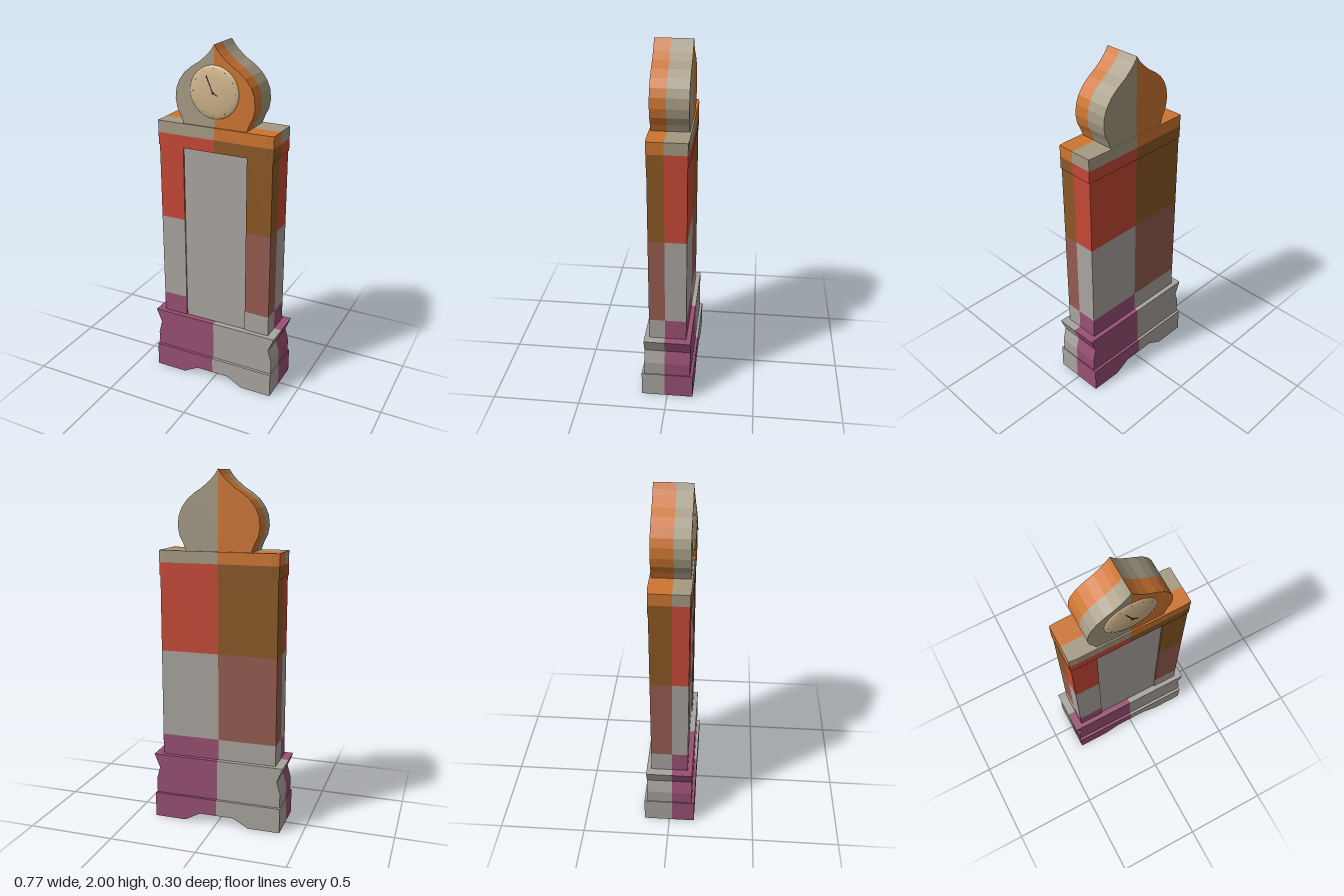
import * as THREE from 'three';

const paint = (name, hex) => {
  const m = new THREE.MeshStandardMaterial({ color: hex });
  m.name = name;
  return m;
};
const gray = paint('gray', 0xa9a49f);
const purple = paint('purple', 0x985072);
const red = paint('red', 0xc64836);
const brown = paint('brown', 0x8a5824);
const rust = paint('rust', 0x955c50);
const beige = paint('beige', 0xa59a83);
const orange = paint('orange', 0xcd7531);
const tan = paint('tan', 0xd2b68c);
const dark = paint('dark', 0x35353f);
const PATCHES = [gray, purple, red, brown, rust, beige, orange];

// Colour blocks: four height bands, each a two-colour checker over the plan quadrants
const Z_SPLIT = 0.015;
const BANDS = [[gray, purple], [rust, gray], [brown, red], [orange, beige]];
function patchAt(c) {
  if (c.y < 0.002) return beige; // soles of the feet
  const band = BANDS[Math.min(3, Math.floor(c.y / 0.5))];
  return band[c.x * (c.z - Z_SPLIT) > 0 ? 0 : 1];
}

// Cuts a polygon by a plane across one axis and returns the pieces
function cut(poly, axis, at) {
  const sides = [[], []];
  poly.forEach((a, i) => {
    const b = poly[(i + 1) % poly.length];
    const da = a[axis] - at, db = b[axis] - at;
    if (da <= 1e-6) sides[0].push(a);
    if (da >= -1e-6) sides[1].push(a);
    if ((da < -1e-6 && db > 1e-6) || (da > 1e-6 && db < -1e-6)) {
      const p = a.clone().lerp(b, da / (da - db));
      sides[0].push(p);
      sides[1].push(p);
    }
  });
  return sides.filter((s) => s.length > 2 && s.some((p) => Math.abs(p[axis] - at) > 1e-6));
}

// Splits a geometry along the colour blocks and groups its faces by material
function patchwork(name, geometry) {
  const src = geometry.index ? geometry.toNonIndexed() : geometry;
  const pos = src.attributes.position;
  const buckets = PATCHES.map(() => []);
  for (let i = 0; i < pos.count; i += 3) {
    let polys = [[0, 1, 2].map((k) => new THREE.Vector3().fromBufferAttribute(pos, i + k))];
    for (const [axis, at] of [['x', 0], ['z', Z_SPLIT], ['y', 0.5], ['y', 1], ['y', 1.5]]) {
      polys = polys.flatMap((p) => {
        const parts = cut(p, axis, at);
        return parts.length ? parts : [p];
      });
    }
    for (const p of polys) {
      const c = p.reduce((s, v) => s.add(v), new THREE.Vector3()).divideScalar(p.length);
      const out = buckets[PATCHES.indexOf(patchAt(c))];
      for (let k = 1; k < p.length - 1; k++) {
        for (const v of [p[0], p[k], p[k + 1]]) out.push(v.x, v.y, v.z);
      }
    }
  }
  const g = new THREE.BufferGeometry();
  g.setAttribute('position', new THREE.Float32BufferAttribute(buckets.flat(), 3));
  let start = 0;
  buckets.forEach((b, i) => {
    if (b.length) g.addGroup(start, b.length / 3, i);
    start += b.length / 3;
  });
  g.computeVertexNormals();
  const mesh = new THREE.Mesh(g, PATCHES);
  mesh.name = name;
  return mesh;
}

// Closed outline from its right half, listed bottom to top
function mirrored(half) {
  const left = half.filter(([x]) => x > 0).map(([x, y]) => [-x, y]).reverse();
  return new THREE.Shape([...half, ...left].map(([x, y]) => new THREE.Vector2(x, y)));
}

// Front outline pulled through the depth
function slab(half, depth) {
  return new THREE.ExtrudeGeometry(mirrored(half), { depth, bevelEnabled: false })
    .translate(0, 0, -depth / 2);
}

// Plan outline (x, -z) raised from y0 to y1
function column(half, y0, y1) {
  return new THREE.ExtrudeGeometry(mirrored(half), { depth: y1 - y0, bevelEnabled: false })
    .rotateX(-Math.PI / 2).translate(0, y0, 0);
}

function solid(name, geometry, material) {
  const m = new THREE.Mesh(geometry, material);
  m.name = name;
  return m;
}

export function createModel() {
  const model = new THREE.Group();
  model.name = 'longcaseClock';

  // Plinth with an arched cut between the feet
  model.add(patchwork('plinth',
    slab([[0.1, 0.05], [0.19, 0], [0.375, 0], [0.375, 0.145]], 0.296)));

  // Moulded base with flared top
  model.add(patchwork('base',
    slab([[0.37, 0.145], [0.372, 0.225], [0.352, 0.3], [0.385, 0.38]], 0.264)));

  // Tall case with a shallow recess for the door
  model.add(patchwork('case', column(
    [[0.19, -0.095], [0.19, -0.105], [0.337, -0.105], [0.337, 0.105]], 0.38, 1.45)));
  const door = solid('door', new THREE.BoxGeometry(0.378, 1.05, 0.006), gray);
  door.position.set(0, 0.905, 0.095);
  model.add(door);

  // Cornice, slightly bowed at its ends
  model.add(patchwork('cornice', column(
    [[0.3, -0.111], [0.342, -0.107], [0.342, 0.107], [0.3, 0.111]], 1.43, 1.567)));

  // Onion-shaped hood
  const hood = [[0.185, 1.567], [0.2, 1.607], [0.222, 1.65], [0.231, 1.7], [0.225, 1.755],
    [0.207, 1.8], [0.175, 1.843], [0.133, 1.878], [0.087, 1.907], [0.045, 1.943],
    [0.02, 1.97], [0, 2]];
  model.add(patchwork('hood', slab(hood, 0.204)));

  // Domed dial
  const clock = new THREE.Group();
  clock.name = 'clockFace';
  clock.position.set(0, 1.755, 0.1);
  const R = 0.142, RISE = 0.02;
  const domeHeight = (r) => RISE * Math.sqrt(Math.max(0, 1 - (r / R) ** 2));
  const profile = [];
  for (let i = 0; i <= 10; i++) {
    const a = (i / 10) * Math.PI / 2;
    profile.push(new THREE.Vector2(R * Math.cos(a), RISE * Math.sin(a)));
  }
  clock.add(solid('dial', new THREE.LatheGeometry(profile, 40).rotateX(Math.PI / 2), tan));

  // Fine hands and hour marks
  const hand = (name, length, angle) => {
    const h = solid(name, new THREE.BoxGeometry(0.004, length, 0.002).translate(0, length / 2, 0), dark);
    h.position.z = RISE + 0.003;
    h.rotation.z = angle;
    clock.add(h);
  };
  hand('minuteHand', 0.095, 0.4);
  hand('hourHand', 0.03, -2.0);
  const pin = solid('handPin', new THREE.CylinderGeometry(0.006, 0.006, 0.008, 12), dark);
  pin.rotation.x = Math.PI / 2;
  pin.position.z = RISE + 0.001;
  clock.add(pin);
  for (let i = 0; i < 12; i++) {
    const a = (i / 12) * Math.PI * 2;
    const mark = solid('hourMark', new THREE.BoxGeometry(0.002, 0.006, 0.002), dark);
    mark.position.set(Math.sin(a) * 0.122, Math.cos(a) * 0.122, domeHeight(0.122));
    mark.rotation.z = -a;
    clock.add(mark);
  }
  model.add(clock);
  return model;
}
